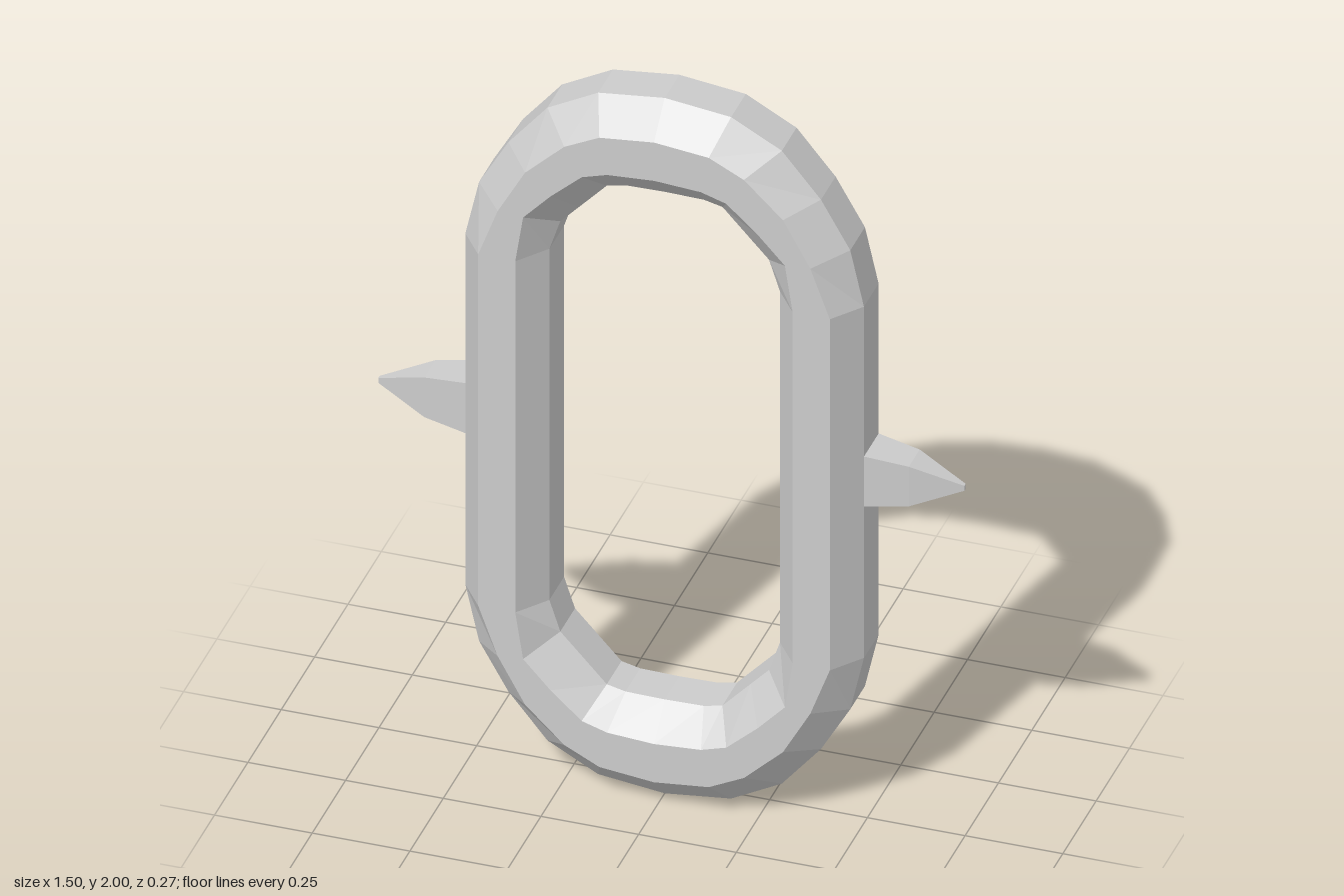
import * as THREE from 'three';

const material = new THREE.MeshStandardMaterial({ color: 0xcccccc, flatShading: true });

// Skin a list of cross-sections (each a closed loop of [x, y, z]) with flat faces.
function loft(sections, closed) {
  const n = sections[0].length;
  const index = [];
  const rows = closed ? sections.length : sections.length - 1;
  for (let i = 0; i < rows; i++) {
    const next = (i + 1) % sections.length;
    for (let j = 0; j < n; j++) {
      const k = (j + 1) % n;
      const a = i * n + j, b = i * n + k, c = next * n + j, d = next * n + k;
      index.push(a, b, c, b, d, c);
    }
  }
  const indexed = new THREE.BufferGeometry();
  indexed.setAttribute('position', new THREE.Float32BufferAttribute(sections.flat(2), 3));
  indexed.setIndex(index);
  const geometry = indexed.toNonIndexed();
  geometry.computeVertexNormals();
  return geometry;
}

// One quarter of each ring edge, from top centre to the straight side: [x, height above middle]
const OUTER = [[0, 1], [0.17, 0.98], [0.3, 0.91], [0.4, 0.79], [0.475, 0.66], [0.51, 0.505]];
const MID_OUTER = [[0, 0.92], [0.14, 0.905], [0.23, 0.86], [0.33, 0.765], [0.4, 0.64], [0.45, 0.505]];
const MID_INNER = [[0, 0.81], [0.12, 0.802], [0.185, 0.782], [0.265, 0.71], [0.335, 0.635], [0.355, 0.505]];
const INNER = [[0, 0.73], [0.1, 0.728], [0.148, 0.717], [0.22, 0.64], [0.267, 0.59], [0.295, 0.505]];
const EDGE_Z = 0.055, FACE_Z = 0.135;

// Octagonal cross-section of the ring at quarter station i, mirrored by sx and sy
function ringSection(i, sx, sy) {
  const at = ([x, y], z) => [sx * x, 1 + sy * y, z];
  return [
    at(OUTER[i], EDGE_Z), at(MID_OUTER[i], FACE_Z), at(MID_INNER[i], FACE_Z), at(INNER[i], EDGE_Z),
    at(INNER[i], -EDGE_Z), at(MID_INNER[i], -FACE_Z), at(MID_OUTER[i], -FACE_Z), at(OUTER[i], -EDGE_Z),
  ];
}

function ringGeometry() {
  const sections = [];
  for (let i = 0; i <= 5; i++) sections.push(ringSection(i, 1, 1));
  for (let i = 5; i >= 0; i--) sections.push(ringSection(i, 1, -1));
  for (let i = 1; i <= 5; i++) sections.push(ringSection(i, -1, -1));
  for (let i = 5; i >= 1; i--) sections.push(ringSection(i, -1, 1));
  return loft(sections, true);
}

// Four-sided spike along +x: [x, half height, half depth]
function spikeGeometry() {
  const stations = [[0.49, 0.074, 0.056], [0.51, 0.072, 0.055], [0.62, 0.057, 0.041], [0.75, 0.007, 0.005], [0.751, 0, 0]];
  return loft(stations.map(([x, h, d]) => [[x, h, d], [x, -h, d], [x, -h, -d], [x, h, -d]]), false);
}

export function createModel() {
  const model = new THREE.Group();
  model.name = 'spikedLink';

  const ring = new THREE.Mesh(ringGeometry(), material);
  ring.name = 'ring';
  model.add(ring);

  // Spikes on both straight sides
  const spike = spikeGeometry();
  for (const [name, turn] of [['leftSpike', 0], ['rightSpike', Math.PI]]) {
    const mesh = new THREE.Mesh(spike, material);
    mesh.name = name;
    mesh.position.y = 1.002;
    mesh.rotation.y = turn;
    model.add(mesh);
  }
  return model;
}
